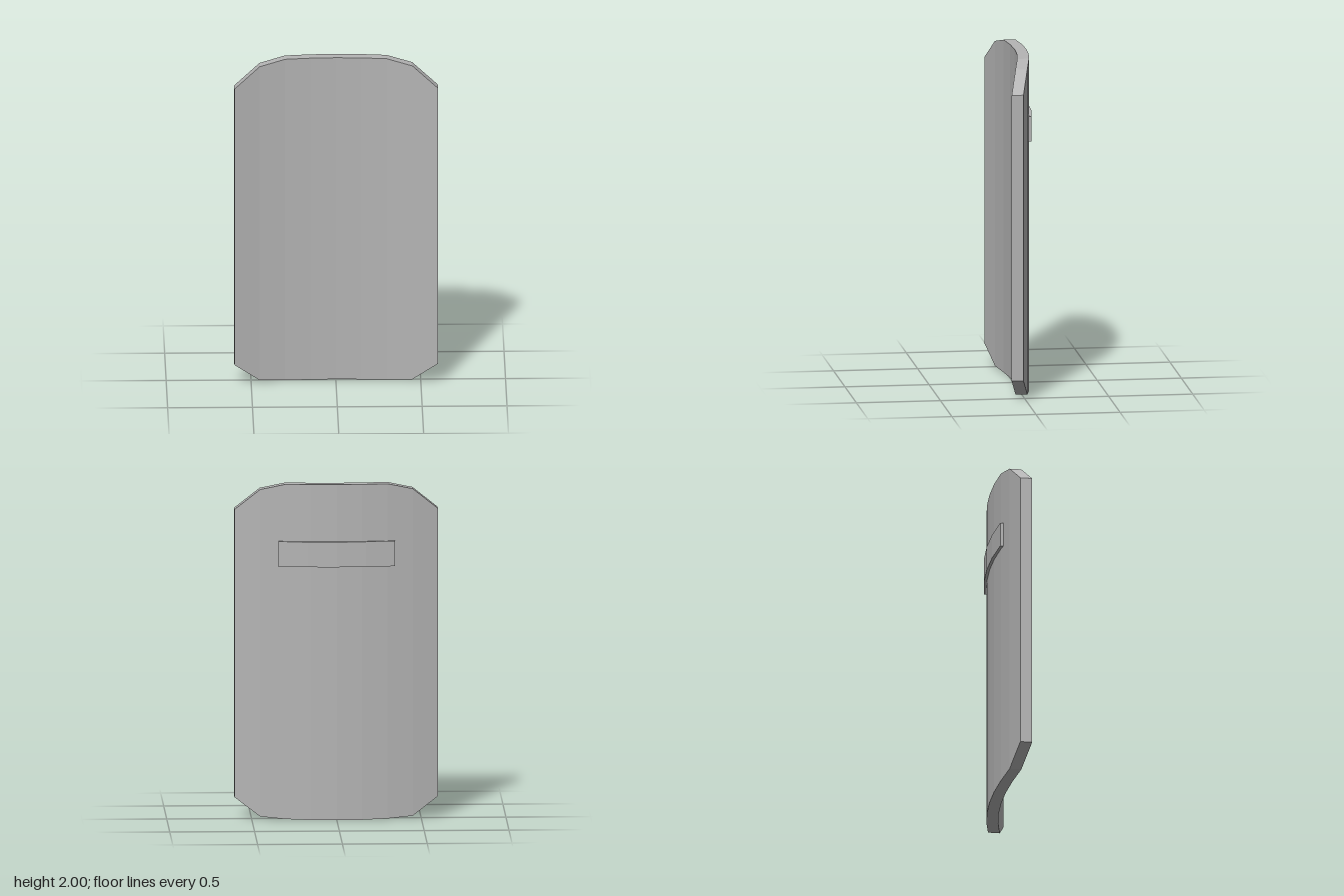
import * as THREE from 'three';

// Depth of the shield's back surface: a shallow parabola across the width
const backZ = (x) => -0.078 + 0.098 * (x / 0.6) ** 2;

// Closed slab lofted through vertical four-point sections along x
function curvedSlab(sections) {
  const rings = sections.map(({ x, bottom, top, back, front }) => [
    [x, top, front], [x, bottom, front], [x, bottom, back], [x, top, back],
  ]);
  const positions = [];
  const quad = (a, b, c, d) => positions.push(...a, ...b, ...c, ...a, ...c, ...d);

  for (let i = 0; i < rings.length - 1; i++) {
    const a = rings[i], b = rings[i + 1];
    for (let k = 0; k < 4; k++) {
      const n = (k + 1) % 4;
      quad(a[n], b[n], b[k], a[k]);
    }
  }
  // End caps
  const first = rings[0], last = rings[rings.length - 1];
  quad(first[3], first[2], first[1], first[0]);
  quad(...last);

  const geometry = new THREE.BufferGeometry();
  geometry.setAttribute('position', new THREE.Float32BufferAttribute(positions, 3));
  geometry.computeVertexNormals();
  return geometry;
}

export function createModel() {
  const group = new THREE.Group();
  group.name = 'curvedShield';

  const metal = new THREE.MeshStandardMaterial({ color: 0xb4b4b4 });
  metal.name = 'plain grey';

  // Shield body with clipped corners, [bottom, top] from centre to edge
  const outline = [[0, 2], [0, 2], [0.004, 2], [0.015, 1.965], [0.125, 1.84]];
  const bodySections = [];
  for (let i = -4; i <= 4; i++) {
    const x = i * 0.15;
    const [bottom, top] = outline[Math.abs(i)];
    bodySections.push({ x, bottom, top, back: backZ(x), front: backZ(x) + 0.07 });
  }
  const body = new THREE.Mesh(curvedSlab(bodySections), metal);
  body.name = 'shieldBody';
  group.add(body);

  // Thin raised strip following the curve of the back
  const stripSections = [];
  for (let i = -2; i <= 2; i++) {
    const x = i * 0.1715;
    stripSections.push({
      x, bottom: 1.51, top: 1.66, back: backZ(x) - 0.017, front: backZ(x) + 0.005,
    });
  }
  const strip = new THREE.Mesh(curvedSlab(stripSections), metal);
  strip.name = 'backStrip';
  group.add(strip);

  return group;
}
